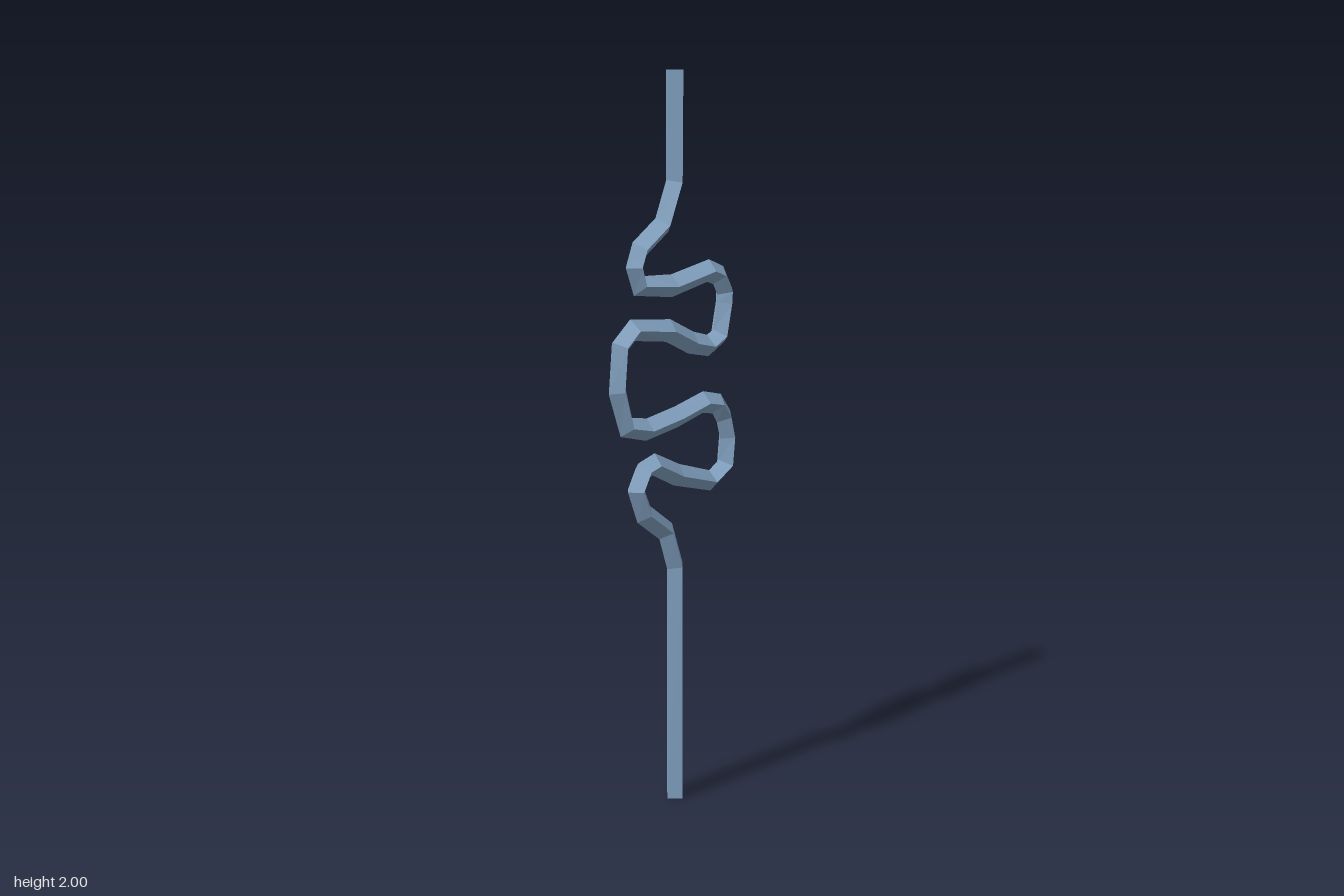
import * as THREE from 'three';

// centre line of the bent rod, from bottom to top (x, y)
const PATH = [
  [0, 0], [0, 0.69], [-0.035, 0.795], [-0.118, 0.86], [-0.146, 0.93],
  [-0.118, 0.98], [-0.08, 0.99], [0.006, 0.945], [0.139, 0.903], [0.202, 0.938],
  [0.21, 1.017], [0.194, 1.076], [0.165, 1.116], [0.11, 1.129], [0.006, 1.105],
  [-0.107, 1.089], [-0.18, 1.107], [-0.211, 1.206], [-0.2, 1.32], [-0.155, 1.357],
  [-0.025, 1.341], [0.062, 1.298], [0.128, 1.282], [0.173, 1.304], [0.192, 1.391],
  [0.194, 1.423], [0.168, 1.468], [0.128, 1.484], [-0.012, 1.457], [-0.131, 1.468],
  [-0.147, 1.516], [-0.129, 1.561], [-0.047, 1.616], [-0.002, 1.722], [0, 2],
];

// sweep a diamond cross-section along the path, with flat faces and closed ends
function diamondRod(path, r) {
  const pts = path.map(([x, y]) => new THREE.Vector2(x, y));
  const dir = (a, b) => b.clone().sub(a).normalize();
  const last = pts.length - 1;
  const rings = pts.map((p, i) => {
    const t = new THREE.Vector2();
    if (i > 0) t.add(dir(pts[i - 1], p));
    if (i < last) t.add(dir(p, pts[i + 1]));
    t.normalize();
    if (i === 0 || i === last) t.set(0, 1);
    const nx = -t.y * r, ny = t.x * r;
    return [
      [p.x + nx, p.y + ny, 0], [p.x, p.y, r],
      [p.x - nx, p.y - ny, 0], [p.x, p.y, -r],
    ];
  });
  const out = [];
  const quad = (a, b, c, d) => out.push(...a, ...b, ...c, ...a, ...c, ...d);
  for (let i = 0; i < last; i++) {
    for (let k = 0; k < 4; k++) {
      const n = (k + 1) % 4;
      quad(rings[i][k], rings[i][n], rings[i + 1][n], rings[i + 1][k]);
    }
  }
  const [b0, b1, b2, b3] = rings[0];
  quad(b3, b2, b1, b0);
  quad(...rings[last]);
  const geo = new THREE.BufferGeometry();
  geo.setAttribute('position', new THREE.Float32BufferAttribute(out, 3));
  geo.computeVertexNormals();
  return geo;
}

export function createModel() {
  const group = new THREE.Group();
  group.name = 'curlyRod';
  const steel = new THREE.MeshStandardMaterial({ color: 0x8aabcc });
  steel.name = 'steel blue';
  const rod = new THREE.Mesh(diamondRod(PATH, 0.03), steel);
  rod.name = 'rod';
  group.add(rod);
  return group;
}
